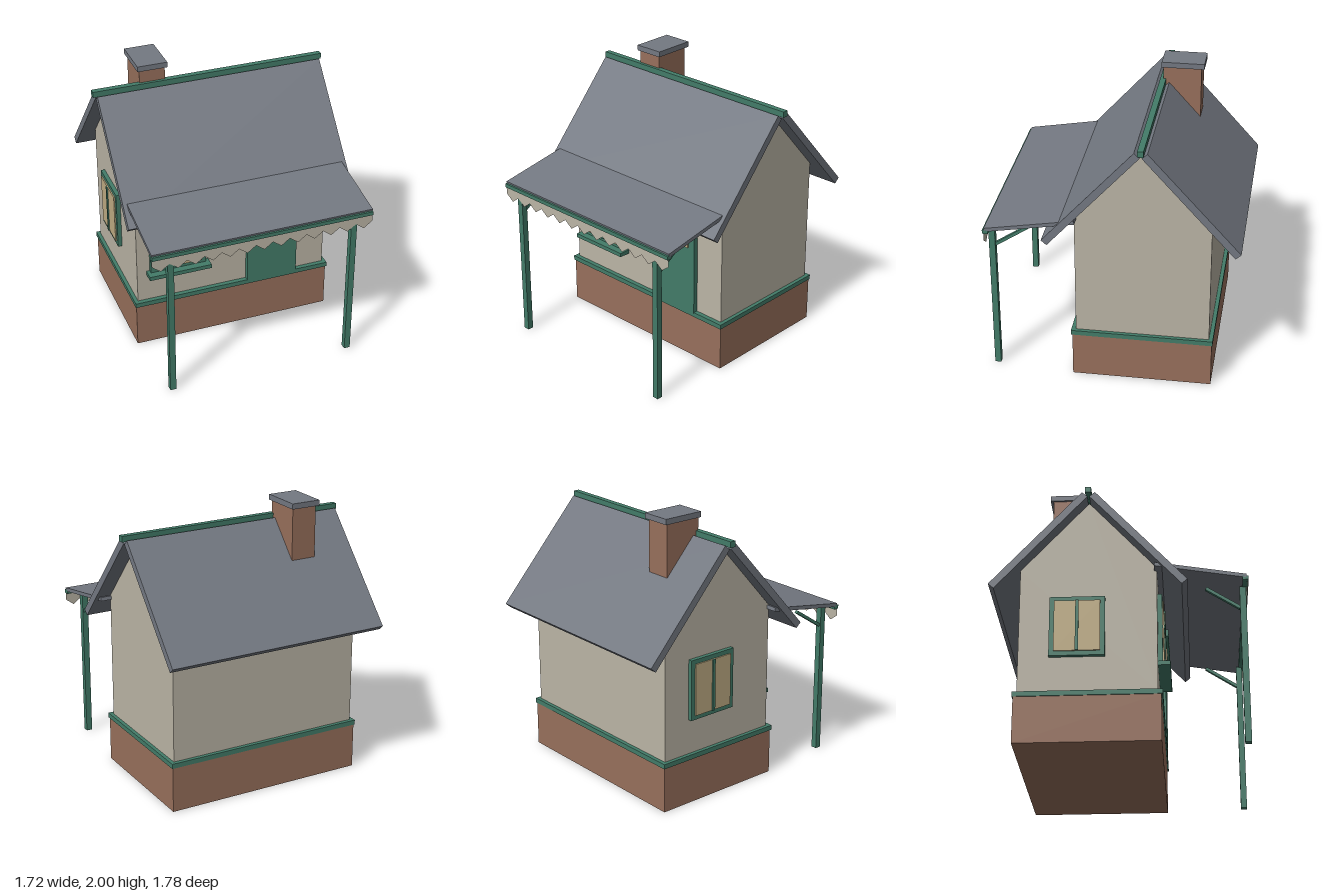
import * as THREE from 'three';

const mat = (name, color, side = THREE.FrontSide) => {
  const m = new THREE.MeshStandardMaterial({ color, side });
  m.name = name;
  return m;
};

export function createModel() {
  const slate = mat('slate', 0x747982);
  const cream = mat('cream', 0xbbb5a6, THREE.DoubleSide);
  const brick = mat('brick', 0x98705c);
  const green = mat('green', 0x437c69);
  const glass = mat('glass', 0xc1ae85);

  const root = new THREE.Group();
  root.name = 'cottage';

  const add = (parent, name, geometry, material) => {
    const mesh = new THREE.Mesh(geometry, material);
    mesh.name = name;
    parent.add(mesh);
    return mesh;
  };
  // Box given by its extents on each axis
  const box = (name, m, [x0, x1], [y0, y1], [z0, z1], parent = root) => {
    const mesh = add(parent, name, new THREE.BoxGeometry(x1 - x0, y1 - y0, z1 - z0), m);
    mesh.position.set((x0 + x1) / 2, (y0 + y1) / 2, (z0 + z1) / 2);
    return mesh;
  };
  // Sloping slab whose centre line runs between two [z, y] points
  const slab = (name, m, x, width, thick, [z0, y0], [z1, y1]) => {
    const len = Math.hypot(z1 - z0, y1 - y0);
    const mesh = add(root, name, new THREE.BoxGeometry(width, thick, len), m);
    mesh.position.set(x, (y0 + y1) / 2, (z0 + z1) / 2);
    mesh.rotation.x = Math.atan2(y0 - y1, z1 - z0);
    return mesh;
  };

  // Base
  box('foundation', brick, [-0.745, 0.745], [0, 0.335], [-0.702, 0.288]);
  box('baseTrim', green, [-0.752, 0.752], [0.33, 0.365], [-0.708, 0.298]);

  // Gabled walls: a pentagon in (-z, y), extruded along x
  const gable = new THREE.Shape([
    [-0.265, 0.36], [0.68, 0.36], [0.68, 1.285], [0.206, 1.812], [-0.265, 1.285],
  ].map(([a, b]) => new THREE.Vector2(a, b)));
  const wallGeo = new THREE.ExtrudeGeometry(gable, { depth: 1.45, bevelEnabled: false });
  wallGeo.translate(0, 0, -0.725).rotateY(Math.PI / 2);
  add(root, 'walls', wallGeo, cream);

  // Main roof
  slab('frontRoof', slate, 0, 1.67, 0.052, [-0.18, 1.823], [0.456, 1.118]);
  slab('backRoof', slate, 0, 1.67, 0.052, [-0.232, 1.823], [-0.868, 1.118]);
  box('ridge', green, [-0.86, 0.86], [1.826, 1.868], [-0.228, -0.186]);

  // Chimney
  box('chimney', brick, [-0.515, -0.327], [1.45, 1.965], [-0.482, -0.208]);
  box('chimneyCap', slate, [-0.53, -0.311], [1.96, 2], [-0.504, -0.196]);

  // Porch
  slab('porchRoof', slate, 0, 1.61, 0.027, [0.25, 1.272], [0.876, 1.164]);
  box('porchBeam', green, [-0.805, 0.805], [1.135, 1.163], [0.85, 0.89]);
  for (const s of [-1, 1]) {
    const x = s * 0.671;
    box('porchPost', green, [x - 0.022, x + 0.022], [0, 1.14], [0.83, 0.874]);
    slab('porchBrace', green, x, 0.026, 0.022, [0.832, 0.985], [0.6, 1.138]);
  }

  // Saw-toothed valance under the beam
  const valance = new THREE.Shape();
  const teeth = 13, step = 1.61 / teeth;
  valance.moveTo(-0.805, 1.15);
  for (let i = 0; i < teeth; i++) {
    const x = -0.805 + i * step;
    valance.lineTo(x, 1.082);
    valance.lineTo(x + step / 2, 1.035);
  }
  valance.lineTo(0.805, 1.082);
  valance.lineTo(0.805, 1.15);
  add(root, 'valance', new THREE.ShapeGeometry(valance), cream).position.z = 0.88;

  // Window on a wall, facing local +z, centred on x = 0
  const windowUnit = (name, w, y0, y1, rim, barY) => {
    const g = new THREE.Group();
    g.name = name;
    box('windowFrame', green, [-w / 2, w / 2], [y0, y1], [-0.01, 0.03], g);
    box('windowGlass', glass, [-w / 2 + rim, w / 2 - rim], [y0 + rim, y1 - rim], [0.03, 0.039], g);
    box('mullion', green, [-0.011, 0.011], [y0 + rim, y1 - rim], [0.03, 0.048], g);
    if (barY) {
      box('crossBar', green, [-w / 2 + rim, w / 2 - rim], [barY - 0.011, barY + 0.011], [0.03, 0.048], g);
    }
    root.add(g);
    return g;
  };
  windowUnit('frontWindow', 0.418, 0.6, 1.13, 0.036, 0.896).position.set(-0.421, 0, 0.267);
  box('windowSill', green, [-0.655, -0.187], [0.58, 0.61], [0.26, 0.35]);
  const side = windowUnit('sideWindow', 0.38, 0.62, 1.06, 0.032);
  side.position.set(-0.725, 0, -0.28);
  side.rotation.y = -Math.PI / 2;

  // Front door
  box('door', green, [0.11, 0.498], [0.36, 1.15], [0.255, 0.3]);
  box('doorGlass', glass, [0.166, 0.442], [0.87, 1.09], [0.3, 0.309]);
  box('doorLintel', green, [0.08, 0.528], [1.147, 1.2], [0.255, 0.324]);

  return root;
}
